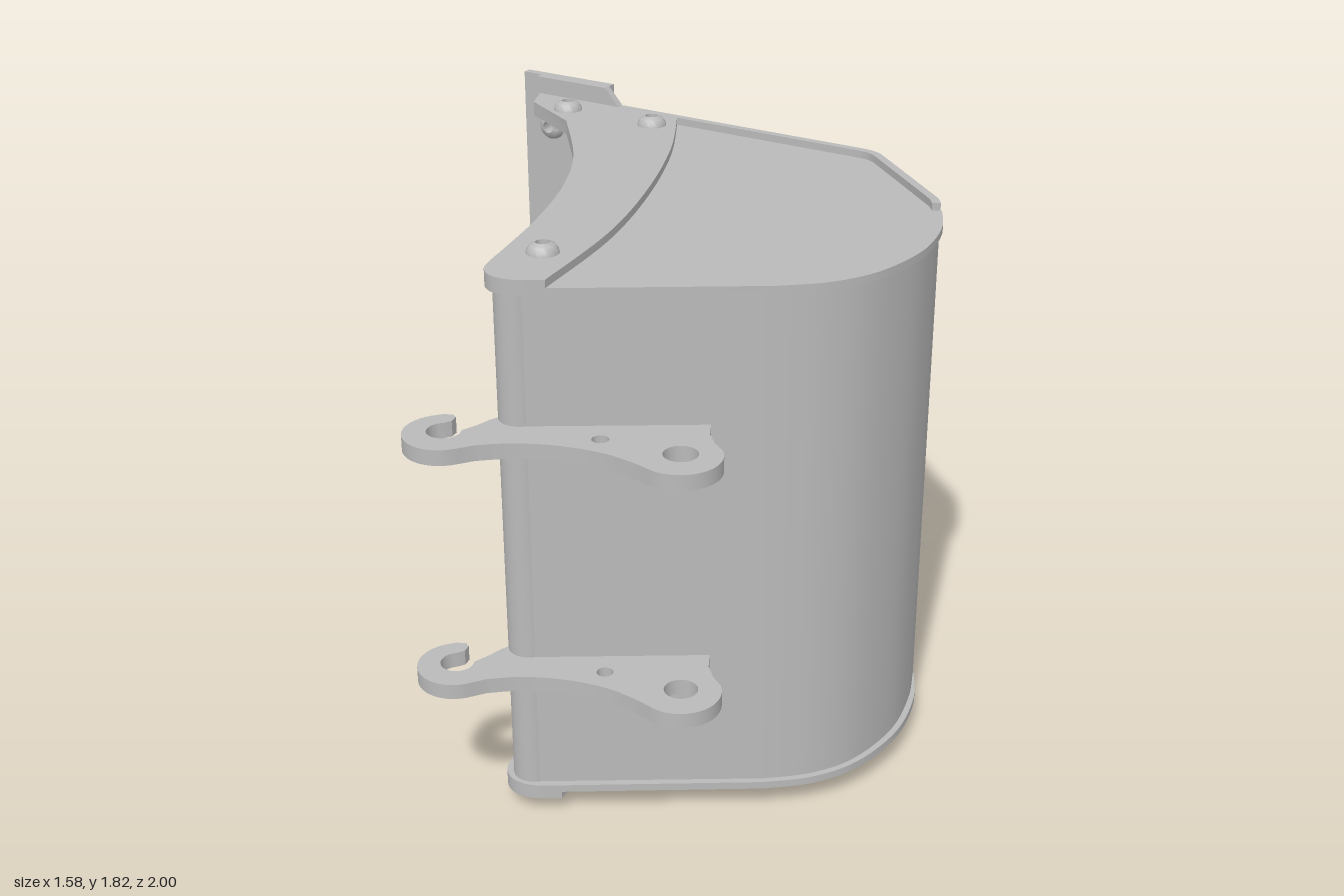
import * as THREE from 'three';
import { toCreasedNormals } from 'three/addons/utils/BufferGeometryUtils.js';

const HEIGHT = 1.82;
const steel = new THREE.MeshStandardMaterial({ color: 0xbababa });
steel.name = 'steelGrey';

// Smooth curve through [x, z] points, as a list of [x, z] points
const curve = (pts, n) =>
  new THREE.SplineCurve(pts.map(p => new THREE.Vector2(p[0], p[1]))).getPoints(n).map(v => [v.x, v.y]);

// Polyline shifted to the inner side by t
function offset(pts, t) {
  return pts.map((p, i) => {
    const a = pts[Math.max(i - 1, 0)], b = pts[Math.min(i + 1, pts.length - 1)];
    const dx = b[0] - a[0], dz = b[1] - a[1], l = Math.hypot(dx, dz);
    return [p[0] - dz / l * t, p[1] + dx / l * t];
  });
}

const circle = (x, y, r) => new THREE.Path().absarc(x, y, r, 0, Math.PI * 2, true);

// Plate with an [x, z] outline between heights y0 and y1; holes are [x, z, r]
function slab(name, pts, y0, y1, holes = []) {
  const shape = new THREE.Shape(pts.map(p => new THREE.Vector2(p[0], -p[1])));
  holes.forEach(h => shape.holes.push(circle(h[0], -h[1], h[2])));
  const g = new THREE.ExtrudeGeometry(shape, { depth: y1 - y0, bevelEnabled: false, curveSegments: 16 });
  g.rotateX(-Math.PI / 2).translate(0, y0, 0);
  const mesh = new THREE.Mesh(toCreasedNormals(g, 0.5), steel);
  mesh.name = name;
  return mesh;
}

// Domed bolt head with a socket, pointing up
const boltGeometry = toCreasedNormals(new THREE.LatheGeometry(
  [[0.048, 0], [0.046, 0.011], [0.037, 0.024], [0.02, 0.031], [0.02, 0]].map(p => new THREE.Vector2(p[0], p[1])), 28), 0.6);
function bolt(name, x, y, z, rotX) {
  const m = new THREE.Mesh(boltGeometry, steel);
  m.name = name;
  m.position.set(x, y, z);
  m.rotation.x = rotX;
  return m;
}

export function createModel() {
  const model = new THREE.Group();
  model.name = 'excavatorBucket';

  // Floor and back wall, whose edges stand proud of the side plates
  const floorOuter = [[-0.404, -0.837], [0.43, -0.549], [0.47, -0.535], [0.502, -0.52], [0.528, -0.496],
    [0.548, -0.464], [0.757, -0.1], [0.769, -0.06]];
  const floorInner = offset(floorOuter, 0.027);
  model.add(slab('floorWall', [...floorOuter, ...floorInner.slice().reverse()], 0.062, 1.761));

  // Rounded wall running up to the cross tube
  const backOuter = [...curve([[0.769, -0.06], [0.772, 0.09], [0.74, 0.28], [0.648, 0.462], [0.53, 0.57], [0.39, 0.631]], 28),
    [0.35, 0.641], [-0.28, 0.797]];
  model.add(slab('roundedWall', [...backOuter, ...offset(backOuter, 0.027).reverse()], 0.107, 1.713));

  // Side plates with thicker front cheeks
  const cheekEdge = curve([[-0.19, -0.737], [-0.134, -0.4], [-0.112, 0], [-0.13, 0.4], [-0.205, 0.802]], 28);
  const sideOutline = [...floorInner.slice(1),
    ...curve([[0.773, -0.063], [0.789, 0.095], [0.757, 0.29], [0.662, 0.475], [0.541, 0.586], [0.398, 0.649]], 28),
    ...cheekEdge.slice().reverse()];
  const cheekOutline = [...cheekEdge,
    ...curve([[-0.26, 0.816], [-0.314, 0.819], [-0.365, 0.797], [-0.394, 0.75], [-0.394, 0.69]], 12),
    ...curve([[-0.385, 0.6], [-0.366, 0.35], [-0.37, 0.05], [-0.42, -0.26], [-0.545, -0.62]], 24),
    [-0.715, -0.81], [-0.725, -0.922]];
  const sideBolts = [[-0.575, -0.75], [-0.255, -0.64], [-0.27, 0.6]];
  const boltHoles = sideBolts.map(b => [...b, 0.02]);
  for (const top of [true, false]) {
    const side = top ? 'left' : 'right';
    const add = (name, pts, y0, y1, holes) =>
      model.add(slab(side + name, pts, top ? y0 : HEIGHT - y1, top ? y1 : HEIGHT - y0, holes));
    add('SidePlate', sideOutline, 1.713, 1.737);
    add('Cheek', cheekOutline, 1.713, 1.761, boltHoles);
    sideBolts.forEach(([x, z]) =>
      model.add(bolt(side + 'CheekBolt', x, top ? 1.761 : HEIGHT - 1.761, z, top ? 0 : Math.PI)));
  }

  // Lip and bolted cutting edge, built along the sloping floor line
  const lip = new THREE.Group();
  lip.name = 'cuttingLip';
  lip.position.set(-0.456, 0, -0.855);
  lip.rotation.y = -19 * Math.PI / 180;
  const plate = (name, pts, z, depth) => {
    const shape = new THREE.Shape(pts.map(p => new THREE.Vector2(p[0], p[1])));
    for (const x of [-0.223, -0.05])
      for (const y of [0.167, 0.91, 1.653]) shape.holes.push(circle(x, y, 0.02));
    const g = new THREE.ExtrudeGeometry(shape, { depth, bevelEnabled: false, curveSegments: 12 });
    const mesh = new THREE.Mesh(toCreasedNormals(g.translate(0, 0, z), 0.6), steel);
    mesh.name = name;
    lip.add(mesh);
  };
  plate('lipPlate', [[-0.285, 0], [0, 0], [0.055, 0.062], [0.055, 1.758], [0, HEIGHT], [-0.285, HEIGHT]], 0, 0.027);
  plate('cuttingEdge', [[-0.358, 0], [0, 0], [0, HEIGHT], [-0.358, HEIGHT]], -0.029, 0.029);
  for (const x of [-0.223, -0.05])
    for (const y of [0.167, 0.91, 1.653]) lip.add(bolt('lipBolt', x, y, 0.027, Math.PI / 2));
  model.add(lip);

  // Cross tube at the mouth
  const tube = new THREE.Mesh(new THREE.CylinderGeometry(0.0645, 0.0645, 1.606, 36), steel);
  tube.name = 'crossTube';
  tube.position.set(-0.3075, 0.91, 0.74);
  model.add(tube);

  // Pair of mounting brackets with a hook and pin holes
  const arc = (cx, cz, r, a0, a1, n) => Array.from({ length: n + 1 }, (_, i) => {
    const a = (a0 + (a1 - a0) * i / n) * Math.PI / 180;
    return [cx + r * Math.cos(a), cz + r * Math.sin(a)];
  });
  const hookOutline = [
    [-0.36, 0.745], [-0.387, 0.775], [-0.41, 0.815],
    ...arc(-0.492, 0.872, 0.05, -15, 250, 20), // inside of the hook
    [-0.49, 0.808], [-0.487, 0.78], [-0.5, 0.766], [-0.53, 0.77],
    ...arc(-0.492, 0.882, 0.115, 235, 50, 20), // outside of the hook
    ...curve([[-0.38, 0.943], [-0.28, 0.907], [-0.15, 0.895], [-0.02, 0.913], [0.08, 0.955]], 16),
    ...arc(0.185, 0.878, 0.12, 125, -25, 18), // pin eye
    [0.262, 0.785], [0.238, 0.735], [0.23, 0.688], [0.225, 0.66], [-0.26, 0.78],
  ];
  for (const y of [0.507, 1.266])
    model.add(slab('mountingBracket', hookOutline, y, y + 0.048, [[0.185, 0.87, 0.05], [-0.052, 0.83, 0.025]]));

  return model;
}
